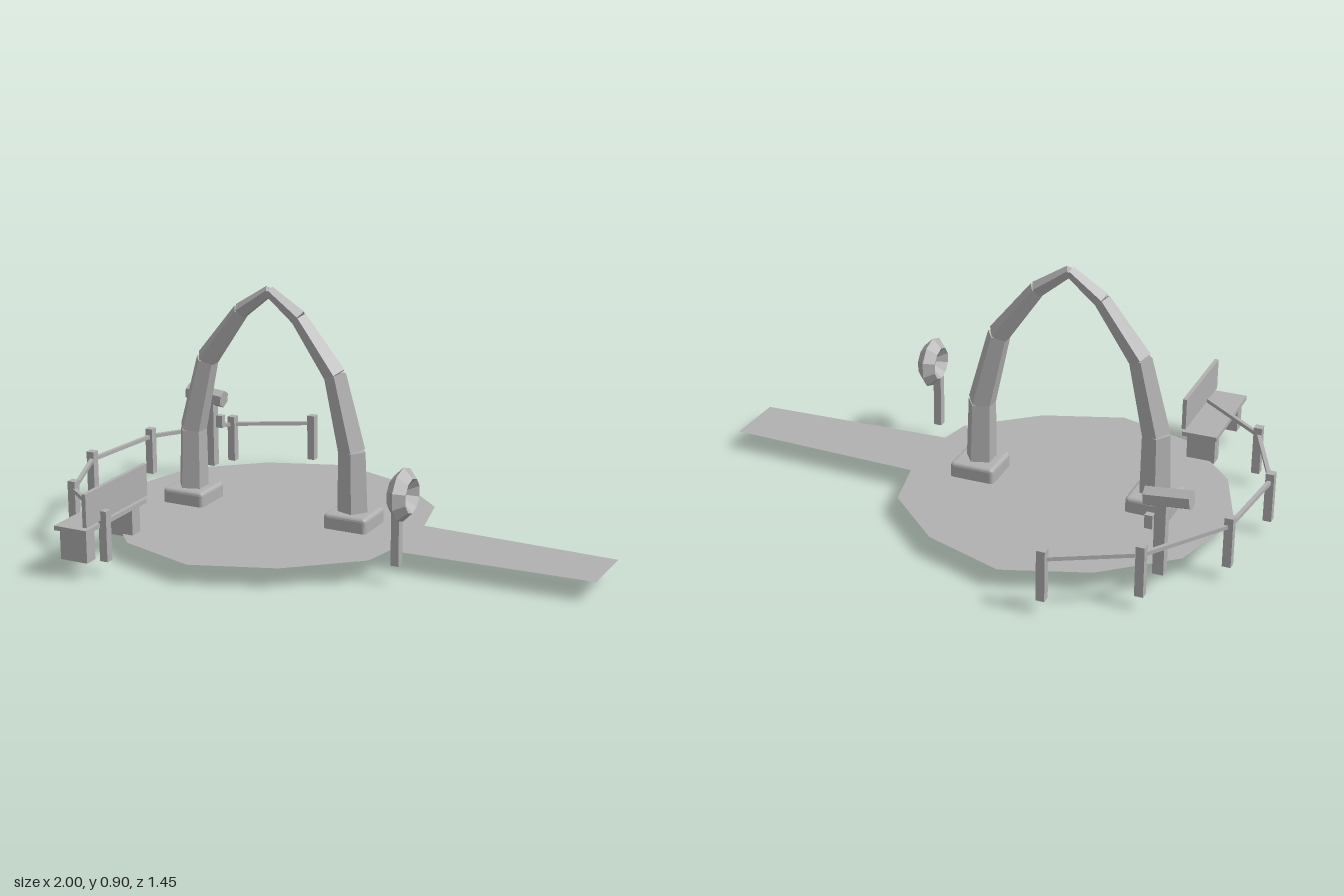
import * as THREE from 'three';
import { RoundedBoxGeometry } from 'three/addons/geometries/RoundedBoxGeometry.js';

export function createModel() {
  const stone = new THREE.MeshStandardMaterial({ color: 0xb0b0b0, side: THREE.DoubleSide });
  stone.name = 'grey stone';
  const model = new THREE.Group();
  model.name = 'lookoutPlaza';

  const group = (name) => {
    const g = new THREE.Group();
    g.name = name;
    model.add(g);
    return g;
  };
  // Faceted normals for every low-poly part
  const add = (parent, name, geometry, x = 0, y = 0, z = 0) => {
    const flat = geometry.index ? geometry.toNonIndexed() : geometry;
    flat.computeVertexNormals();
    const mesh = new THREE.Mesh(flat, stone);
    mesh.name = name;
    mesh.position.set(x, y, z);
    parent.add(mesh);
    return mesh;
  };
  // Box given by its lower and upper limits
  const box = (parent, name, [x0, x1], [y0, y1], [z0, z1]) =>
    add(parent, name, new THREE.BoxGeometry(x1 - x0, y1 - y0, z1 - z0),
      (x0 + x1) / 2, (y0 + y1) / 2, (z0 + z1) / 2);

  // Paved plaza with its path, one flat sheet
  const outline = [
    [-0.28, -0.635], [0.012, -0.53], [0.23, -0.326], [0.277, -0.122], [1, -0.095], [1, 0.134],
    [0.272, 0.162], [0.249, 0.28], [0.012, 0.48], [-0.28, 0.584], [-0.573, 0.49],
    [-0.785, 0.26], [-0.894, -0.026], [-0.808, -0.33], [-0.573, -0.53],
  ].map(([x, z]) => new THREE.Vector2(x, -z));
  add(model, 'plaza', new THREE.ShapeGeometry(new THREE.Shape(outline)).rotateX(-Math.PI / 2), 0, 0.07, 0);

  // Arch: tapering five-sided segments, ridge facing outward, mirrored about its middle
  const arch = group('arch');
  const archX = -0.28, archZ = -0.02;
  const spine = [ // offset from the middle, height, radius
    [0.328, 0, 0.059], [0.323, 0.345, 0.051], [0.258, 0.61, 0.042], [0.117, 0.8, 0.031], [0, 0.885, 0.021],
  ];
  for (const side of [1, -1]) {
    for (let i = 0; i < spine.length - 1; i++) {
      const [ax, ay, ar] = spine[i], [bx, by, br] = spine[i + 1];
      const dx = side * (bx - ax), dy = by - ay;
      const geometry = new THREE.CylinderGeometry(br, ar, Math.hypot(dx, dy), 5, 1, false, side * Math.PI / 2);
      const segment = add(arch, 'archSegment', geometry, archX + side * (ax + bx) / 2, (ay + by) / 2, archZ);
      segment.rotation.z = Math.atan2(-dx, dy);
    }
    // Footing block around each leg
    add(arch, 'archFooting', new RoundedBoxGeometry(0.165, 0.07, 0.165, 2, 0.014),
      archX + side * 0.328, 0.09, -0.024);
  }

  // Fence: square posts joined by a thin rail
  const fence = group('fence');
  const posts = [
    [-0.575, 0.62], [-0.85, 0.397], [-0.985, 0.073], [-0.947, -0.277], [-0.745, -0.565], [-0.467, -0.713],
  ];
  posts.forEach(([x, z], i) => {
    add(fence, 'fencePost', new THREE.BoxGeometry(0.03, 0.18, 0.03), x, 0.139, z);
    if (i === 0) return;
    const [px, pz] = posts[i - 1];
    const rail = add(fence, 'fenceRail', new THREE.BoxGeometry(0.014, 0.014, Math.hypot(x - px, z - pz)),
      (x + px) / 2, 0.197, (z + pz) / 2);
    rail.rotation.y = Math.atan2(x - px, z - pz);
  });

  // Bench facing outward
  const bench = group('bench');
  box(bench, 'benchSeat', [-0.713, -0.585], [0.168, 0.184], [0.338, 0.72]);
  box(bench, 'benchBack', [-0.597, -0.582], [0.195, 0.312], [0.338, 0.72]);
  for (const z of [0.395, 0.68]) {
    box(bench, 'benchLeg', [-0.7, -0.595], [0.062, 0.168], [z - 0.025, z + 0.025]);
  }

  // Ring-shaped sign on a post
  const ringSign = group('ringSign');
  box(ringSign, 'signPost', [0.332, 0.361], [0.067, 0.26], [0.255, 0.285]);
  add(ringSign, 'signRing', new THREE.TorusGeometry(0.06, 0.034, 4, 10).rotateZ(Math.PI / 10).rotateY(Math.PI / 2),
    0.368, 0.317, 0.268);

  // Viewing telescope on a post
  const telescope = group('telescope');
  box(telescope, 'telescopePost', [-0.783, -0.745], [0.065, 0.325], [-0.45, -0.413]);
  box(telescope, 'coinBox', [-0.737, -0.71], [0.222, 0.27], [-0.444, -0.42]);
  const barrel = add(telescope, 'telescopeBarrel',
    new THREE.CylinderGeometry(0.034, 0.034, 0.155, 6, 1, false, Math.PI / 6), -0.785, 0.343, -0.433);
  barrel.rotation.z = -Math.PI / 2 - 0.1;

  return model;
}
